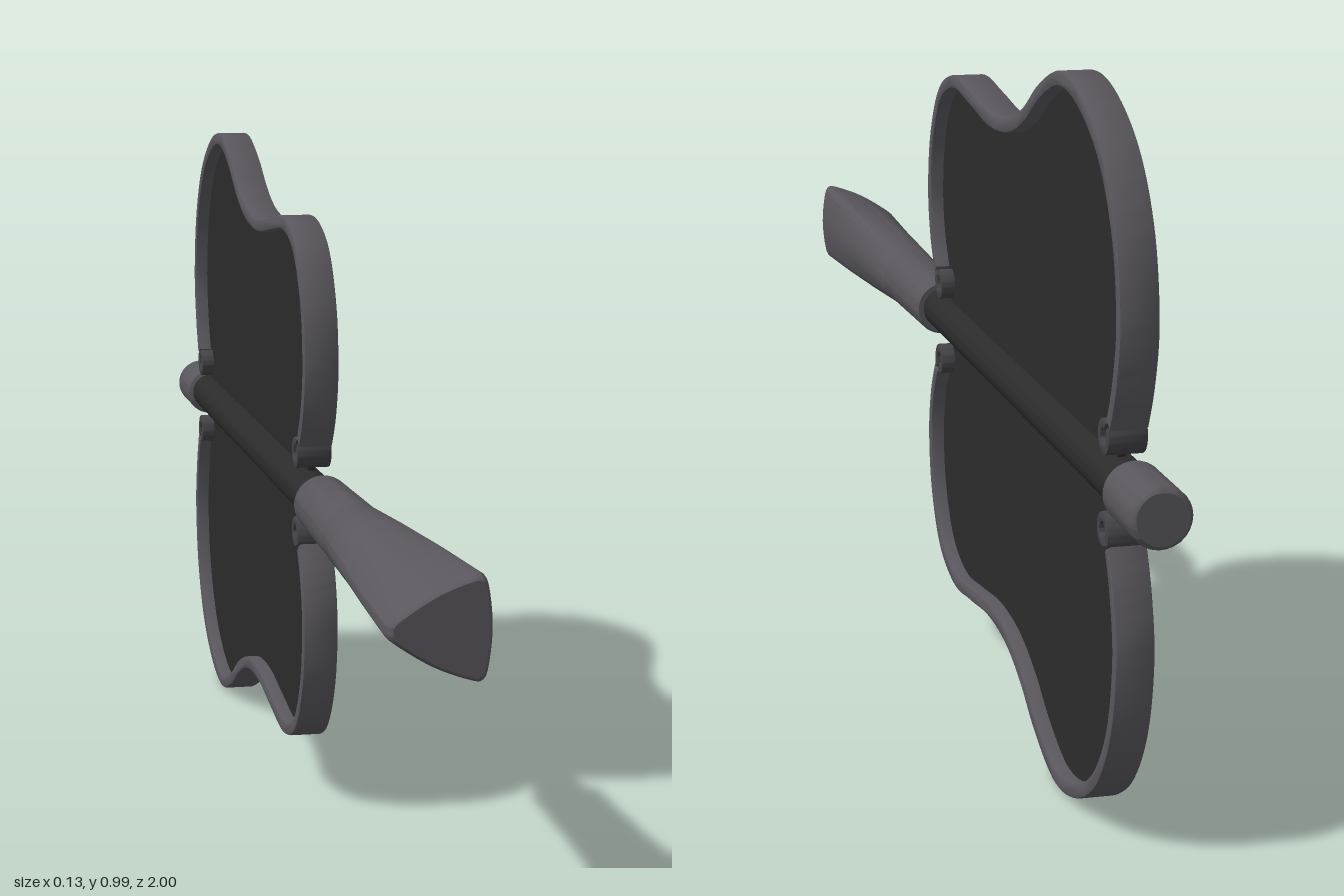
import * as THREE from 'three';
import { toCreasedNormals } from 'three/addons/utils/BufferGeometryUtils.js';

const MID = 0.502; // height of the shaft axis
const AXIS = 0.009; // x of the shaft axis

// Centreline of one wing's rim as (-z, height above the axis)
const RIM = [
  [-0.135, 0.08], [-0.165, 0.13], [-0.18, 0.2], [-0.163, 0.288], [-0.105, 0.365], [-0.01, 0.396],
  [0.1, 0.386], [0.22, 0.372], [0.33, 0.38], [0.42, 0.41], [0.5, 0.452], [0.6, 0.483],
  [0.7, 0.468], [0.8, 0.413], [0.866, 0.325], [0.89, 0.22], [0.876, 0.14], [0.85, 0.08],
];

// Extrude a (-z, y) outline across x, centred on the rim
function slab(points, width, bevel) {
  const geo = new THREE.ExtrudeGeometry(new THREE.Shape(points), {
    depth: width - 2 * bevel, bevelEnabled: bevel > 0,
    bevelSize: bevel, bevelThickness: bevel, bevelOffset: -bevel, bevelSegments: 2,
  });
  geo.translate(0, 0, bevel - width / 2);
  geo.rotateY(Math.PI / 2);
  geo.translate(0.011, MID, 0);
  return toCreasedNormals(geo, 0.7);
}

// Outline of a flat strip following a centreline
function strip(line, thickness) {
  const a = [], b = [];
  line.forEach((p, i) => {
    const t = line[Math.min(i + 1, line.length - 1)].clone().sub(line[Math.max(i - 1, 0)]).normalize();
    const n = new THREE.Vector2(-t.y, t.x).multiplyScalar(thickness / 2);
    a.push(p.clone().add(n));
    b.unshift(p.clone().sub(n));
  });
  return a.concat(b);
}

// Skin over rings of xy points at increasing z
function loft(rings) {
  const n = rings[0].pts.length, pos = [], idx = [];
  rings.forEach(({ z, pts }, i) => pts.forEach((p, j) => {
    pos.push(p.x + AXIS, p.y + MID, z);
    if (i === rings.length - 1) return;
    const a = i * n + j, b = i * n + (j + 1) % n;
    idx.push(a, b, b + n, a, b + n, a + n);
  }));
  const geo = new THREE.BufferGeometry();
  geo.setAttribute('position', new THREE.Float32BufferAttribute(pos, 3));
  geo.setIndex(idx);
  return toCreasedNormals(geo.toNonIndexed(), 0.6);
}

// Closed rounded bar along z: sections of [z, radius, triangle blend, scale]
const TRIANGLE = new THREE.SplineCurve([
  [-0.077, 0], [-0.071, 0.013], [-0.02, 0.046], [0.028, 0.065], [0.045, 0.065], [0.052, 0.045],
  [0.056, 0], [0.052, -0.045], [0.045, -0.065], [0.028, -0.065], [-0.02, -0.046], [-0.071, -0.013], [-0.077, 0],
].map(([x, y]) => new THREE.Vector2(x, y))).getPoints(60).slice(0, -1).reverse();

function bar(sections) {
  return loft(sections.map(([z, r, blend = 0, scale = 1]) => ({
    z,
    pts: TRIANGLE.map((p) => {
      const ang = Math.atan2(p.y, p.x);
      return new THREE.Vector2(Math.cos(ang) * r, Math.sin(ang) * r).lerp(p, blend).multiplyScalar(scale);
    }),
  })));
}

export function createModel() {
  const frameGrey = new THREE.MeshStandardMaterial({ color: 0x59575d });
  const sheetBlack = new THREE.MeshStandardMaterial({ color: 0x2b2b2b });
  const curlGrey = new THREE.MeshStandardMaterial({ color: 0x444347 });
  frameGrey.name = 'frameGrey';
  sheetBlack.name = 'sheetBlack';
  curlGrey.name = 'curlGrey';

  const group = new THREE.Group();
  group.name = 'fan';
  const add = (name, geo, mat, parent = group) => {
    const mesh = new THREE.Mesh(geo, mat);
    mesh.name = name;
    parent.add(mesh);
  };

  // Upper and lower wings
  for (const side of [1, -1]) {
    const wing = new THREE.Group();
    wing.name = side > 0 ? 'upperWing' : 'lowerWing';
    group.add(wing);
    const flip = (pts) => pts.map((p) => new THREE.Vector2(p.x, p.y * side));

    const line = new THREE.SplineCurve(RIM.map(([x, y]) => new THREE.Vector2(x, y))).getPoints(110);
    add('rim', slab(strip(flip(line), 0.02), 0.052, 0.004), frameGrey, wing);

    const root = [[0.83, 0.04], [0.81, 0], [-0.09, 0], [-0.115, 0.04]].map(([x, y]) => new THREE.Vector2(x, y));
    add('sheet', slab(flip([...line, ...root]), 0.01, 0), sheetBlack, wing);

    // Scrolled rim ends, turning inward at front and back
    for (const [cx, dir] of [[-0.111, 1], [0.829, -1]]) {
      const curl = [];
      for (let i = 0; i <= 32; i++) {
        const t = i / 32, ang = 2.5 + t * 5.9, r = 0.022 - 0.008 * t;
        curl.push(new THREE.Vector2(cx + dir * Math.cos(ang) * r, 0.063 + Math.sin(ang) * r));
      }
      add('rimCurl', slab(strip(flip(curl), 0.013), 0.052, 0.002), curlGrey, wing);
    }
  }

  // Shaft with the rear cap
  add('shaft', bar([[-0.9, 0], [-0.9, 0.032], [0.24, 0.032], [0.24, 0]]), sheetBlack);
  add('rearCap', bar([
    [-1, 0], [-1, 0.034], [-0.997, 0.038], [-0.99, 0.041], [-0.877, 0.041], [-0.872, 0.039], [-0.87, 0.036], [-0.87, 0],
  ]), frameGrey);

  // Round collar and the handle flaring to a rounded triangle
  add('collar', bar([[0.205, 0], [0.205, 0.04], [0.21, 0.043], [0.446, 0.0475], [0.449, 0.046], [0.449, 0]]), frameGrey);
  add('handle', bar([
    [0.449, 0], [0.449, 0.046], [0.453, 0.0485], [0.6, 0.051, 0.27], [0.8, 0.055, 0.64], [0.98, 0.058, 1],
    [0.991, 0.058, 1, 0.985], [0.997, 0.058, 1, 0.95], [1, 0.058, 1, 0.9], [1, 0.058, 1, 0],
  ]), frameGrey);

  return group;
}
